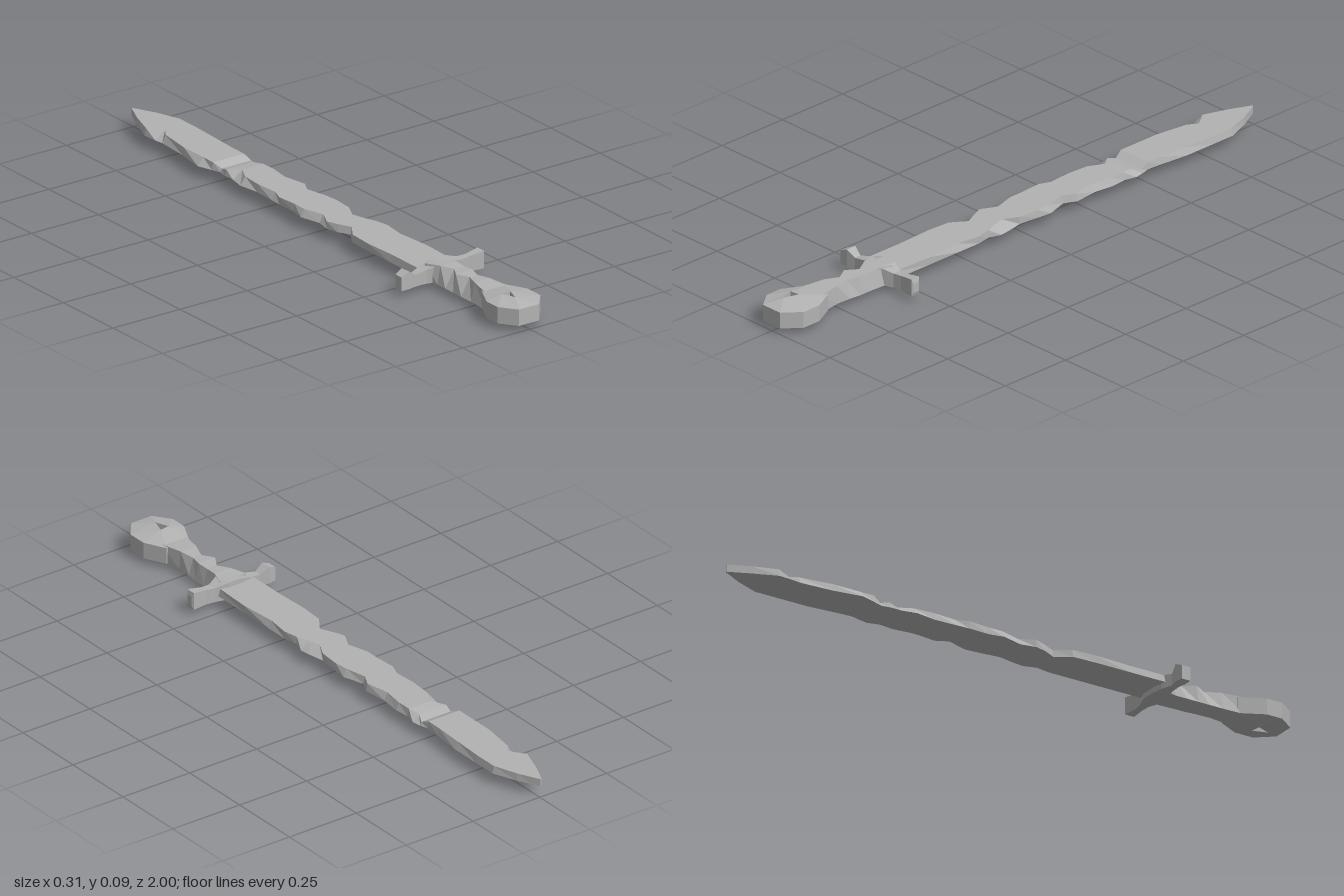
import * as THREE from 'three';

// Skins a row of cross-sections with flat facets; capped unless it loops round.
function loft(rings, loop = false) {
  const pos = [];
  const tri = (a, b, c) => pos.push(...a, ...b, ...c);
  const n = rings[0].length;
  const last = loop ? rings.length : rings.length - 1;
  for (let i = 0; i < last; i++) {
    const r = rings[i], s = rings[(i + 1) % rings.length];
    for (let j = 0; j < n; j++) {
      const k = (j + 1) % n;
      tri(r[j], r[k], s[k]);
      tri(r[j], s[k], s[j]);
    }
  }
  if (!loop) {
    const first = rings[0], end = rings[rings.length - 1];
    for (let j = 1; j < n - 1; j++) {
      tri(first[0], first[j + 1], first[j]);
      tri(end[0], end[j], end[j + 1]);
    }
  }
  const geometry = new THREE.BufferGeometry();
  geometry.setAttribute('position', new THREE.Float32BufferAttribute(pos, 3));
  geometry.computeVertexNormals();
  return geometry;
}

// Section across z: top edge from xl to xr, bottom edge from bl to br.
const slice = (z, xl, xr, bl, br, top, bottom) => [
  [xl, top, z], [xr, top, z], [br, bottom, z], [bl, bottom, z],
];

export function createModel() {
  const group = new THREE.Group();
  const stone = new THREE.MeshStandardMaterial({ color: 0xb2b2b2, flatShading: true });
  stone.name = 'worn grey';
  const add = (name, geometry) => {
    const mesh = new THREE.Mesh(geometry, stone);
    mesh.name = name;
    group.add(mesh);
  };

  // Blade: z, top left, top right, bottom left, bottom right, top height
  const blade = [
    [0.55, -0.07, 0.055, -0.075, 0.06],
    [0.40, -0.07, 0.06, -0.075, 0.06],
    [0.28, -0.075, 0.05, -0.075, 0.06],
    [0.20, -0.07, 0.06, -0.072, 0.06],
    [0.15, -0.035, 0.05, -0.04, 0.052],
    [0.11, -0.055, 0.035, -0.06, 0.065],
    [0.07, -0.07, 0.025, -0.07, 0.06],
    [0.02, -0.045, 0.05, -0.06, 0.05],
    [-0.05, -0.065, 0.055, -0.078, 0.058],
    [-0.10, -0.065, 0.05, -0.068, 0.062],
    [-0.17, -0.07, 0.035, -0.07, 0.04],
    [-0.21, -0.055, 0.055, -0.068, 0.06],
    [-0.29, -0.06, 0.04, -0.065, 0.052],
    [-0.36, -0.055, 0.05, -0.075, 0.06],
    [-0.41, -0.03, 0.05, -0.065, 0.055],
    [-0.45, -0.06, 0.04, -0.065, 0.065, 0.056],
    [-0.48, -0.055, 0.055, -0.06, 0.06, 0.048],
    [-0.51, -0.065, 0.05, -0.07, 0.052],
    [-0.56, -0.065, 0.05, -0.086, 0.055],
    [-0.66, -0.065, 0.055, -0.07, 0.065],
    [-0.77, -0.05, 0.06, -0.063, 0.065],
    [-0.80, -0.03, 0.06, -0.067, 0.065],
    [-0.85, -0.065, 0.06, -0.07, 0.065],
    [-0.93, -0.038, 0.032, -0.038, 0.034],
    [-0.975, -0.018, 0.01, -0.018, 0.01],
    [-1.0, -0.007, -0.003, -0.007, -0.003],
  ];
  add('blade', loft(blade.map(([z, a, b, c, d, top = 0.061]) =>
    slice(z, a, b, c, d, top, 0.037))));

  // Grip with chips along its upper edges
  const grip = [
    [0.54, -0.05, 0.045, -0.05, 0.045, 0.075],
    [0.59, -0.03, 0.03, -0.042, 0.042, 0.078],
    [0.63, -0.008, 0.028, -0.042, 0.04, 0.076],
    [0.67, -0.032, 0.03, -0.042, 0.04, 0.078],
    [0.71, -0.01, 0.02, -0.042, 0.036, 0.076],
    [0.76, -0.028, 0.03, -0.042, 0.034, 0.079],
    [0.84, -0.045, 0.045, -0.045, 0.045, 0.075],
  ].reverse();
  // Stations are walked the other way, towards the blade
  add('grip', loft(grip.map(([z, a, b, c, d, top]) =>
    slice(z, a, b, c, d, top, 0.02))));

  // Crossguard: x, back z, front z, bottom, top
  const guard = [
    [-0.157, 0.535, 0.565, 0.018, 0.063],
    [-0.13, 0.53, 0.565, 0.018, 0.075],
    [-0.10, 0.537, 0.56, 0.018, 0.056],
    [-0.06, 0.525, 0.563, 0.019, 0.064],
    [-0.02, 0.52, 0.58, 0.02, 0.077],
    [0.03, 0.52, 0.58, 0.02, 0.077],
    [0.07, 0.533, 0.563, 0.019, 0.066],
    [0.10, 0.538, 0.56, 0.018, 0.068],
    [0.15, 0.533, 0.565, 0.018, 0.075],
    [0.154, 0.54, 0.56, 0.03, 0.06],
  ];
  add('crossguard', loft(guard.map(([x, z0, z1, y0, y1]) =>
    [[x, y1, z0], [x, y1, z1], [x, y0, z1], [x, y0, z0]])));

  // Pommel: faceted ring round a small triangular hole
  const hole = [[0.005, 0.893], [-0.027, 0.897], [-0.01, 0.94]];
  const pommel = [
    [0.08, 0.88, 0], [0.045, 0.81, 0], [-0.04, 0.81, 1], [-0.08, 0.89, 1],
    [-0.08, 0.945, 1], [-0.04, 1.0, 2], [0.035, 1.0, 2], [0.08, 0.945, 0],
  ];
  add('pommel', loft(pommel.map(([x, z, h]) => {
    const [hx, hz] = hole[h];
    return [[hx, 0.087, hz], [x, 0.073, z], [x, 0.02, z], [hx, 0, hz]];
  }), true));

  return group;
}
